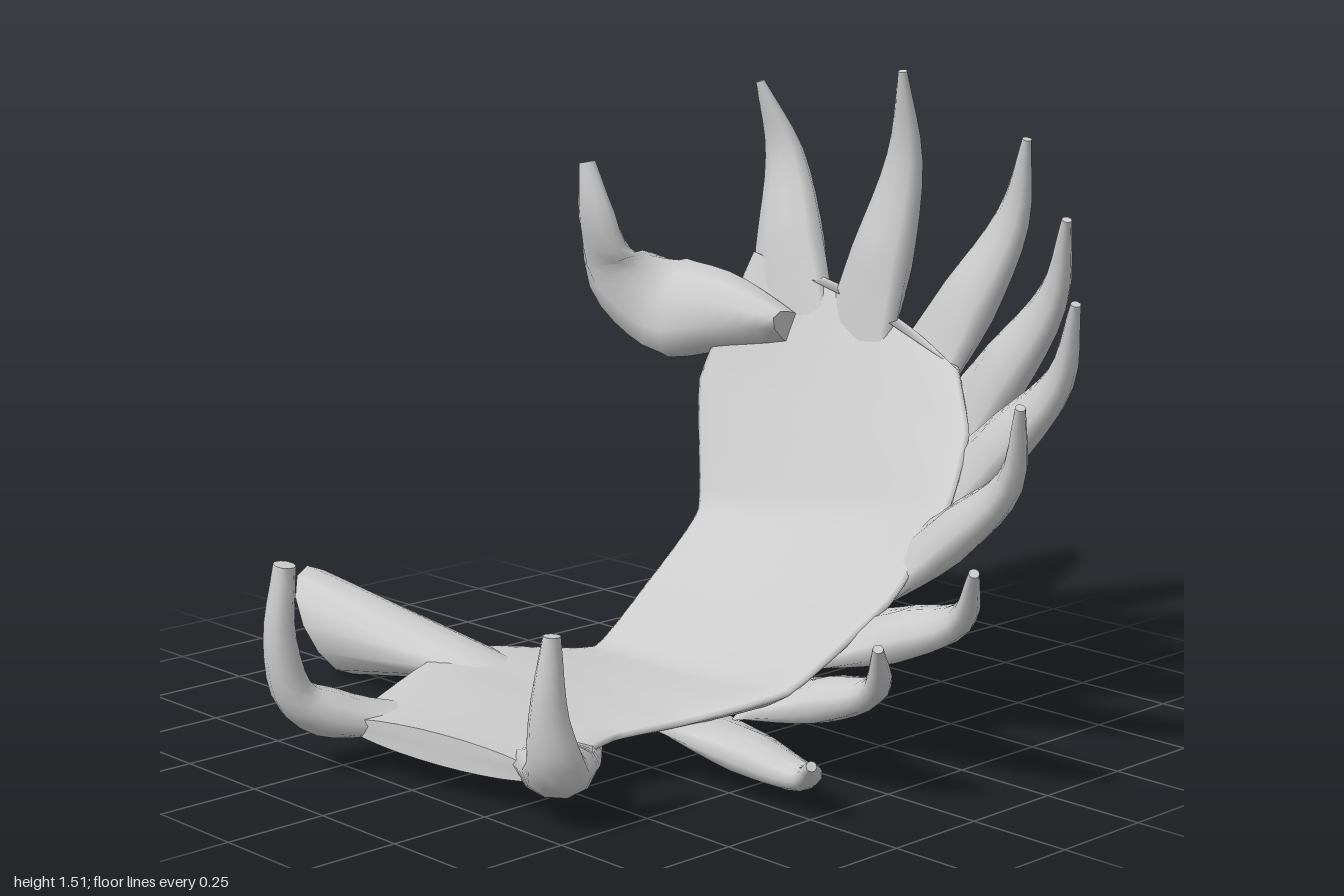
import * as THREE from 'three';

const V = (x, y, z) => new THREE.Vector3(x, y, z);
const { lerp, clamp } = THREE.MathUtils;
const material = new THREE.MeshStandardMaterial({ color: 0xcccccc, side: THREE.DoubleSide });

// Skin a list of closed rings (arrays of Vector3) and cap both ends
function loft(name, rings) {
  const n = rings[0].length, pos = [], idx = [];
  const push = (p) => pos.push(p.x, p.y, p.z);
  rings.forEach((ring) => ring.forEach(push));
  for (let i = 0; i < rings.length - 1; i++) {
    for (let j = 0; j < n; j++) {
      const a = i * n + j, b = i * n + (j + 1) % n;
      idx.push(a, b, a + n, b, b + n, a + n);
    }
  }
  [rings[0], rings[rings.length - 1]].forEach((ring, end) => {
    const c = pos.length / 3;
    push(ring.reduce((s, p) => s.add(p), V(0, 0, 0)).divideScalar(n));
    ring.forEach(push);
    for (let j = 0; j < n; j++) {
      const a = c + 1 + j, b = c + 1 + (j + 1) % n;
      if (end) idx.push(c, a, b); else idx.push(c, b, a);
    }
  });
  const g = new THREE.BufferGeometry();
  g.setAttribute('position', new THREE.Float32BufferAttribute(pos, 3));
  g.setIndex(idx);
  g.computeVertexNormals();
  const mesh = new THREE.Mesh(g, material);
  mesh.name = name;
  return mesh;
}

// Ellipse with half axes u and v around c
const ellipse = (c, u, v, n) => Array.from({ length: n }, (_, j) => {
  const a = (j / n) * Math.PI * 2;
  return c.clone().addScaledVector(u, Math.cos(a)).addScaledVector(v, Math.sin(a));
});

// Prong that swells out of the palm from a thin, wide root and tapers to its tip:
// wide is the half width along side, thick the half thickness, each from root to tip
function tine(name, points, side, wide, thick) {
  const path = new THREE.CatmullRomCurve3(points);
  const steps = (points.length - 1) * 4, rings = [];
  for (let i = 0; i <= steps; i++) {
    const t = i / steps, swell = lerp(0.2, 1, Math.min(1, t / 0.35));
    const T = path.getTangent(t);
    const u = side.clone().addScaledVector(T, -side.dot(T)).normalize();
    const v = T.clone().cross(u);
    u.multiplyScalar(lerp(wide[0], wide[1], t));
    v.multiplyScalar(lerp(thick[0], thick[1], t) * swell);
    rings.push(ellipse(path.getPoint(t), u, v, 10));
  }
  return loft(name, rings);
}

// Broad dished blade: a rounded lens section swept from front to back
function palm() {
  const edge = (...points) => new THREE.CatmullRomCurve3(points, false, 'catmullrom', 0.2);
  const left = edge(
    V(-0.22, .12, .77), V(-0.4, .145, .39), V(-0.4, .15, .19), V(-0.27, .13, -.04),
    V(-0.33, .24, -.28), V(-0.4, .38, -.53), V(-0.53, .69, -.66), V(-0.46, 1.02, -.79));
  const right = edge(
    V(.36, .11, .68), V(.31, .13, .42), V(.38, .15, .27), V(.54, .22, .1),
    V(.57, .38, -.2), V(.55, .56, -.42), V(.47, .7, -.58), V(.32, .82, -.71));
  const surface = (s, v) => {
    const k = clamp(s, 0, 1), sag = 4 * v * (1 - v);
    return left.getPoint(k).lerp(right.getPoint(k), v)
      .add(V(0, -0.05 * Math.sin(Math.PI * k) * sag, -0.09 * k * sag));
  };
  const rings = [], rows = 35, n = 28, e = 0.01;
  for (let i = 0; i <= rows; i++) {
    const s = i / rows, ring = [];
    for (let j = 0; j < n; j++) {
      const a = (j / n) * Math.PI * 2, v = (1 - Math.cos(a)) / 2;
      const across = surface(s, v + e).sub(surface(s, v - e));
      const along = surface(s + e, v).sub(surface(s - e, v));
      const normal = across.cross(along).normalize();
      ring.push(surface(s, v).addScaledVector(normal, 0.036 * Math.sin(a)));
    }
    rings.push(ring);
  }
  return loft('palm', rings);
}

export function createModel() {
  const group = new THREE.Group();
  group.name = 'antler';
  group.add(palm());

  // Beam with a slanted cut end
  group.add(loft('beam', [
    ellipse(V(-0.15, .125, .29), V(0, 0, .1), V(0, .012, 0), 12),
    ellipse(V(-0.4, .14, .29), V(0, 0, .1), V(0, .045, 0), 12),
    ellipse(V(-0.91, .135, .28), V(0, 0, .085), V(-0.09, .125, 0), 12),
  ]));

  // Fan of prongs from the back round to the side: root and tip of each
  const fan = [
    [V(-0.3, .8, -.76), V(-0.5, 1.46, -.85)],
    [V(-0.1, .77, -.77), V(.025, 1.52, -.82)],
    [V(.13, .74, -.75), V(.41, 1.38, -.84)],
    [V(.3, .64, -.68), V(.69, 1.23, -.65)],
    [V(.39, .53, -.55), V(.85, 1.07, -.49)],
    [V(.42, .39, -.36), V(.92, .88, -.22)],
    [V(.43, .27, -.16), V(.985, .56, 0)],
    [V(.4, .16, .03), V(.84, .39, .14)],
    [V(.3, .13, .2), V(.77, .14, .27)],
  ];
  fan.forEach(([root, tip], i) => {
    const t = i / (fan.length - 1), a = t * Math.PI / 2;
    const bulge = V(-0.01, 0, -.07).lerp(V(.06, -.05, -.03), Math.min(1, t * 1.6));
    const bend = (f, k) => root.clone().lerp(tip, f).addScaledVector(bulge, k);
    const side = V(Math.cos(a), -0.5 * Math.sin(2 * a), Math.sin(a));
    group.add(tine('fanTine', [root, bend(.38, .75), bend(.72, 1), tip], side,
      [lerp(.16, .11, t), .012], [lerp(.085, .065, t), .012]));
  });

  // Broad lobe that hooks upward
  group.add(tine('hookedTine', [
    V(-0.28, .84, -.76), V(-0.52, .86, -.74), V(-0.72, .86, -.71),
    V(-0.83, .95, -.64), V(-0.84, 1.1, -.58), V(-0.865, 1.24, -.57),
  ], V(0, .45, 1), [.1, .02], [.2, .025]));

  // Two prongs that curl up at the front
  group.add(tine('frontTine', [
    V(.18, .1, .5), V(.34, .12, .62), V(.43, .15, .7), V(.44, .27, .73), V(.44, .45, .72),
  ], V(.8, 0, -.6), [.12, .02], [.085, .022]));
  group.add(tine('frontTine', [
    V(-0.14, .11, .55), V(-0.23, .13, .74), V(-0.28, .18, .85), V(-0.29, .32, .89), V(-0.28, .5, .88),
  ], V(1, 0, .4), [.1, .035], [.075, .025]));
  return group;
}
